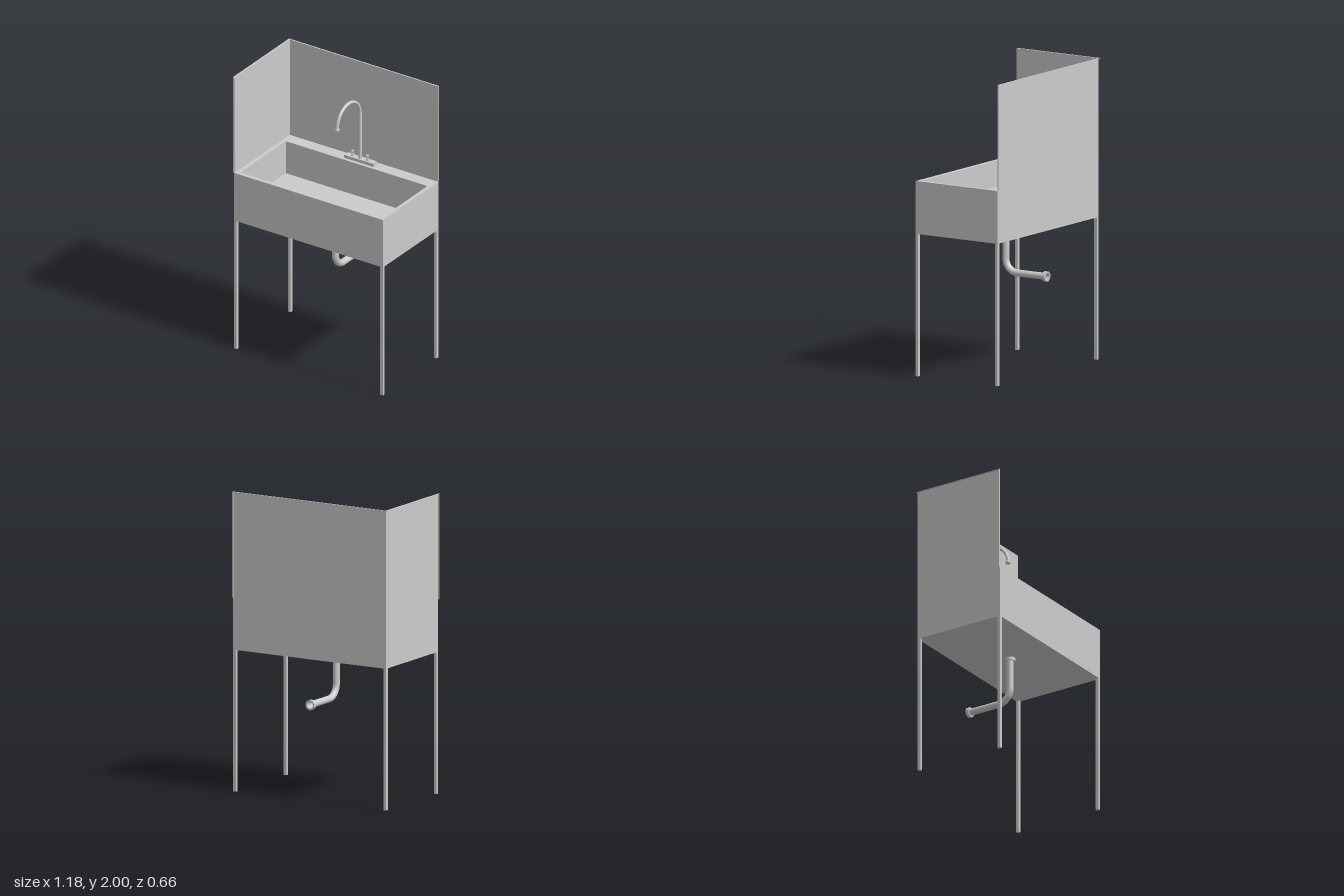
import * as THREE from 'three';

const material = new THREE.MeshStandardMaterial({ color: 0xcccccc });
const doubleSided = new THREE.MeshStandardMaterial({ color: 0xcccccc, side: THREE.DoubleSide });

function add(parent, name, geometry, mat = material) {
  const mesh = new THREE.Mesh(geometry, mat);
  mesh.name = name;
  parent.add(mesh);
  return mesh;
}

// Box given by its minimum and maximum corners
function box(parent, name, [x0, y0, z0], [x1, y1, z1]) {
  const mesh = add(parent, name, new THREE.BoxGeometry(x1 - x0, y1 - y0, z1 - z0));
  mesh.position.set((x0 + x1) / 2, (y0 + y1) / 2, (z0 + z1) / 2);
}

function lathe(parent, name, points, x, y, z, segments = 24) {
  const profile = points.map(([r, h]) => new THREE.Vector2(r, h));
  const mesh = add(parent, name, new THREE.LatheGeometry(profile, segments), doubleSided);
  mesh.position.set(x, y, z);
  return mesh;
}

// Straight run, circular bend, straight run, in the plane x = constant; points are [z, y]
function bentTube(parent, name, start, center, bend, from, to, end, radius, x) {
  const points = [];
  const steps = 24;
  const v = (z, y) => new THREE.Vector3(x, y, z);
  for (let i = 0; i <= steps; i++) {
    const a = from + (to - from) * i / steps;
    points.push(v(center[0] + bend * Math.cos(a), center[1] + bend * Math.sin(a)));
  }
  const path = new THREE.CurvePath();
  path.add(new THREE.LineCurve3(v(...start), points[0]));
  path.add(new THREE.CatmullRomCurve3(points));
  path.add(new THREE.LineCurve3(points[steps], v(...end)));
  add(parent, name, new THREE.TubeGeometry(path, 96, radius, 20, false), doubleSided);
}

// Counter-clockwise rectangle in the ground plane
function rectangle(PathType, x0, x1, z0, z1) {
  return new PathType([[x0, z1], [x1, z1], [x1, z0], [x0, z0]].map(([x, z]) => new THREE.Vector2(x, -z)));
}

export function createModel() {
  const model = new THREE.Group();
  model.name = 'utilitySink';
  const under = 0.945, rim = 1.296;

  // Basin walls with a wide rear ledge, and the floor inside them
  const basin = new THREE.Group();
  basin.name = 'basin';
  model.add(basin);
  const outline = rectangle(THREE.Shape, -0.581, 0.592, -0.319, 0.327);
  outline.holes.push(rectangle(THREE.Path, -0.553, 0.566, -0.23, 0.298));
  const walls = new THREE.ExtrudeGeometry(outline, { depth: rim - under, bevelEnabled: false });
  walls.rotateX(-Math.PI / 2);
  add(basin, 'basinWalls', walls).position.y = under;
  box(basin, 'basinFloor', [-0.553, under, -0.23], [0.566, 1.06, 0.298]);

  // Sheets behind and on one side, rising into splash guards
  const guard = new THREE.Group();
  guard.name = 'splashGuard';
  model.add(guard);
  box(guard, 'backSheet', [-0.583, under, -0.321], [0.592, 2, -0.319]);
  box(guard, 'sideSheet', [-0.583, under, -0.319], [-0.581, 2, 0.327]);

  // Narrow outward flanges round the guard's free edges
  box(guard, 'backTopFlange', [-0.593, 1.998, -0.328], [0.592, 2, -0.321]);
  box(guard, 'sideTopFlange', [-0.593, 1.998, -0.321], [-0.583, 2, 0.327]);
  box(guard, 'backEndFlange', [0.59, rim, -0.328], [0.592, 1.998, -0.321]);
  box(guard, 'sideEndFlange', [-0.593, rim, 0.325], [-0.583, 1.998, 0.327]);

  // Legs
  for (const x of [-0.583, 0.571])
    for (const z of [-0.32, 0.306])
      box(model, 'leg', [x, 0, z], [x + 0.021, under, z + 0.021]);

  // Drain pipe with a hollow flange at each end
  const drain = new THREE.Group();
  drain.name = 'drain';
  model.add(drain);
  const px = 0.005, pz = 0.013;
  bentTube(drain, 'drainPipe', [pz, under], [pz - 0.09, 0.728], 0.09, 0, -Math.PI / 2, [-0.312, 0.638], 0.023, px);
  const flange = [[0.023, 0], [0.034, 0], [0.034, 0], [0.034, 0.022], [0.034, 0.022], [0.023, 0.022]];
  lathe(drain, 'drainCollar', flange, px, under - 0.022, pz);
  lathe(drain, 'outletFlange', flange, px, 0.638, -0.316).rotation.x = Math.PI / 2;

  // Faucet: base plate, gooseneck spout and nozzle
  const faucet = new THREE.Group();
  faucet.name = 'faucet';
  model.add(faucet);
  const sx = 0.006, sz = -0.272;
  box(faucet, 'faucetBase', [-0.11, rim, -0.298], [0.123, 1.317, -0.253]);
  bentTube(faucet, 'spout', [sz, 1.316], [-0.138, 1.645], 0.134, Math.PI, 0, [-0.004, 1.64], 0.011, sx);
  lathe(faucet, 'nozzle', [[0.011, 0.022], [0.015, 0.016], [0.016, 0.012], [0.016, 0], [0.011, 0], [0, 0.002]],
    sx, 1.634, -0.004);

  // Two taps with small levers
  for (const x of [-0.053, 0.064]) {
    const tap = new THREE.Group();
    tap.name = 'tap';
    tap.position.set(x, 1.317, -0.273);
    faucet.add(tap);
    lathe(tap, 'tapStem', [[0.011, 0], [0.01, 0.008], [0.006, 0.02], [0.006, 0.026], [0.009, 0.03], [0.009, 0.042],
      [0.009, 0.042], [0, 0.042]], 0, 0, 0, 16);
    const lever = add(tap, 'lever', new THREE.CylinderGeometry(0.003, 0.003, 0.026, 10));
    lever.rotation.x = Math.PI / 2;
    lever.position.set(0, 0.035, 0.013);
  }
  return model;
}
